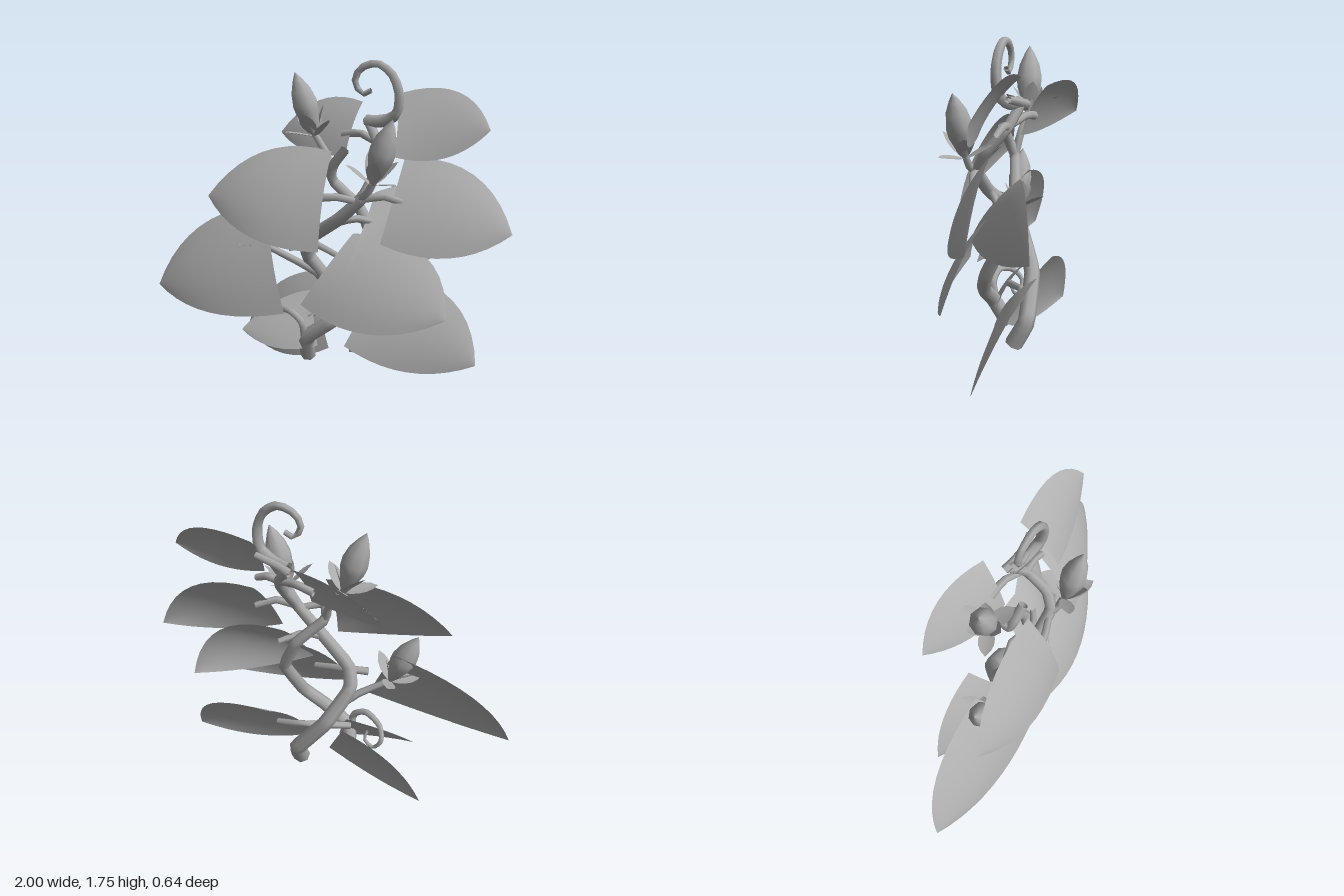
import * as THREE from 'three';

const V = (p) => new THREE.Vector3(...p);

// Edge curve passing through its middle point
function edge(a, m, b) {
  const c = V(m).multiplyScalar(2).addScaledVector(V(a), -0.5).addScaledVector(V(b), -0.5);
  return new THREE.QuadraticBezierCurve3(V(a), c, V(b));
}

// Leaf blade: straight base, two curved edges meeting at the tip, gently domed
function leafGeometry([baseTop, topMid, tip, lowMid, baseLow], nu = 10, nv = 8) {
  const top = edge(baseTop, topMid, tip), low = edge(baseLow, lowMid, tip);
  const dome = V(baseLow).sub(V(baseTop)).cross(V(tip).sub(V(baseTop))).normalize();
  if (dome.z < 0) dome.negate();
  const pos = [], index = [];
  for (let i = 0; i <= nu; i++) {
    const u = i / nu, a = top.getPoint(u), b = low.getPoint(u);
    for (let j = 0; j <= nv; j++) {
      const v = j / nv;
      const p = a.clone().lerp(b, v).addScaledVector(dome, 0.26 * v * (1 - v) * a.distanceTo(b));
      pos.push(p.x, p.y, p.z);
    }
  }
  for (let i = 0; i < nu; i++) for (let j = 0; j < nv; j++) {
    const k = i * (nv + 1) + j, n = k + nv + 1;
    index.push(k, k + 1, n, n, k + 1, n + 1);
  }
  const g = new THREE.BufferGeometry();
  g.setAttribute('position', new THREE.Float32BufferAttribute(pos, 3));
  g.setIndex(index);
  g.computeVertexNormals();
  return g;
}

// Tube whose radius runs from r0 to r1; low tension keeps the joints knotty
function taperedTube(points, r0, r1, tension = 0.15, sides = 7, steps = 4) {
  const curve = new THREE.CatmullRomCurve3(points.map(V), false, 'catmullrom', tension);
  const n = (points.length - 1) * steps;
  const g = new THREE.TubeGeometry(curve, n, 1, sides, false);
  const p = g.attributes.position, v = new THREE.Vector3();
  for (let i = 0; i <= n; i++) {
    const c = curve.getPointAt(i / n), r = r0 + (r1 - r0) * i / n;
    for (let j = 0; j <= sides; j++) {
      const k = i * (sides + 1) + j;
      v.fromBufferAttribute(p, k).sub(c).multiplyScalar(r).add(c);
      p.setXYZ(k, v.x, v.y, v.z);
    }
  }
  return g;
}

export function createModel() {
  const group = new THREE.Group();
  const leafMat = new THREE.MeshStandardMaterial({ color: 0xb0b0b0, side: THREE.DoubleSide });
  leafMat.name = 'leaf grey';
  const stemMat = new THREE.MeshStandardMaterial({ color: 0xaaaaaa, side: THREE.DoubleSide });
  stemMat.name = 'stem grey';
  const add = (name, geometry, material, parent = group) => {
    const m = new THREE.Mesh(geometry, material);
    m.name = name;
    parent.add(m);
    return m;
  };

  // Leaves: base top, upper edge, tip, lower edge, base bottom
  const leaves = {
    leafLowerRightLarge: [[-0.34, 0.93, 0.01], [-0.78, 0.75, 0.04], [-1, 0.4, 0.16], [-0.6, 0.33, 0.27], [-0.13, 0.4, 0.26]],
    leafMiddleRight: [[0.07, 1.28, 0.07], [-0.32, 1.25, 0.1], [-0.61, 1.0, 0.2], [-0.3, 0.84, 0.32], [0.08, 0.79, 0.28]],
    leafUpperRight: [[0.13, 1.5, -0.23], [-0.16, 1.48, -0.3], [-0.38, 1.29, -0.26], [-0.16, 1.22, -0.13], [0.09, 1.23, -0.08]],
    leafBottomRight: [[-0.13, 0.49, -0.2], [-0.42, 0.34, -0.2], [-0.59, 0.05, -0.15], [-0.27, 0.0, -0.02], [0.03, 0.11, 0.01]],
    leafSmallRight: [[-0.1, 0.43, -0.04], [-0.3, 0.35, 0.03], [-0.455, 0.2, 0.15], [-0.23, 0.14, 0.18], [0.0, 0.16, 0.1]],
    leafFrontLeft: [[0.18, 0.83, 0.03], [0.58, 0.76, 0.03], [0.73, 0.45, 0.12], [0.36, 0.37, 0.27], [-0.03, 0.47, 0.26]],
    leafMiddleLeft: [[0.42, 1.24, -0.09], [0.78, 1.18, -0.12], [1, 0.88, -0.12], [0.72, 0.78, 0.08], [0.38, 0.84, 0.17]],
    leafBackLeft: [[0.25, 1.03, -0.12], [0.55, 1.04, -0.25], [0.7, 0.75, -0.32], [0.46, 0.65, -0.04], [0.19, 0.66, 0.17]],
    leafUpperLeft: [[0.37, 1.57, -0.17], [0.67, 1.59, -0.17], [0.86, 1.42, -0.09], [0.66, 1.28, -0.01], [0.41, 1.27, 0.04]],
    leafBottomLeft: [[0.3, 0.53, -0.24], [0.69, 0.43, -0.2], [0.86, 0.12, -0.08], [0.5, 0.05, 0.01], [0.14, 0.16, 0.05]],
  };
  for (const [name, pts] of Object.entries(leaves)) add(name, leafGeometry(pts), leafMat);

  // Two entwined vines
  add('mainVine', taperedTube([[0.18, 0.07, -0.07], [0.17, 0.21, -0.14], [0, 0.44, -0.12], [-0.11, 0.65, -0.02], [-0.08, 0.77, 0.03],
    [0.12, 0.92, 0.09], [0.26, 1.06, 0.1], [0.3, 1.17, 0.04], [0.28, 1.3, -0.07], [0.2, 1.42, -0.12]], 0.052, 0.026), stemMat);
  add('secondVine', taperedTube([[-0.08, 0.07, 0.05], [-0.05, 0.22, 0.13], [0.1, 0.34, 0.13], [0.22, 0.48, 0.07], [0.27, 0.74, -0.06],
    [0.18, 0.94, -0.08], [0.03, 1.1, -0.03], [0.05, 1.19, 0], [0.12, 1.28, 0.01]], 0.046, 0.026), stemMat);

  // Curled tendrils
  add('topTendril', taperedTube([[0.2, 1.42, -0.11], [0.3, 1.43, -0.08], [0.38, 1.48, -0.06], [0.39, 1.59, -0.05], [0.35, 1.68, -0.05], [0.27, 1.73, -0.05],
    [0.18, 1.7, -0.05], [0.15, 1.63, -0.05], [0.19, 1.57, -0.05], [0.24, 1.59, -0.05]], 0.034, 0.014, 0.4, 6, 2), stemMat);
  add('baseTendril', taperedTube([[-0.07, 0.2, 0.12], [-0.08, 0.31, 0.14], [-0.16, 0.36, 0.13], [-0.26, 0.33, 0.08], [-0.29, 0.26, 0.03],
    [-0.24, 0.19, 0.03], [-0.18, 0.22, 0.05], [-0.19, 0.27, 0.07]], 0.024, 0.009, 0.4, 6, 3), stemMat);

  // Short bent leaf stalks and the bud stalks
  const stalks = [
    [[0, 1.04, 0.17], [0.12, 1.06, 0.15], [0.25, 1.03, 0.1]],
    [[0.25, 1.05, 0.1], [0.37, 1.07, 0.08], [0.48, 1.03, 0.04]],
    [[0.05, 1.33, -0.14], [0.15, 1.35, -0.13], [0.27, 1.31, -0.08]],
    [[0.28, 1.31, -0.07], [0.34, 1.32, -0.07], [0.41, 1.29, -0.06]],
    [[0.09, 0.89, 0.08], [0.19, 0.92, 0.04], [0.31, 0.88, -0.04]],
    [[-0.18, 0.72, 0.08], [-0.04, 0.74, 0.03], [0.13, 0.69, 0.06]],
    [[-0.09, 0.31, 0.04], [0.15, 0.38, -0.12], [0.31, 0.33, -0.1]],
    [[0.18, 1.41, -0.14], [0.25, 1.43, -0.12], [0.38, 1.46, -0.11]],
    [[-0.02, 0.5, -0.08], [-0.14, 0.6, 0.0], [-0.31, 0.7, 0.07]],
    [[0.24, 1.05, 0.1], [0.29, 1.09, 0.13], [0.33, 1.16, 0.14]],
    [[0.03, 1.11, -0.03], [0.0, 1.22, -0.05], [-0.09, 1.34, -0.07]],
  ];
  stalks.forEach((pts) => add('stalk', taperedTube(pts, 0.024, 0.018, 0.2, 6, 2), stemMat));

  // Flower buds with a ring of small sepals
  const budProfile = [[0.012, 0], [0.04, 0.06], [0.066, 0.14], [0.07, 0.19], [0.056, 0.26], [0.028, 0.32], [0.0, 0.365]]
    .map(([r, y]) => new THREE.Vector2(r, y));
  const budGeometry = new THREE.LatheGeometry(budProfile, 8);
  const sepalGeometry = leafGeometry([[-0.008, 0, 0], [-0.042, 0.1, 0], [0, 0.18, 0.01], [0.042, 0.1, 0], [0.008, 0, 0]], 5, 4);
  const buds = {
    upperBud: [[-0.08, 1.32, -0.07], [-0.19, 1.67, -0.04]],
    leftBud: [[0.32, 1.14, 0.14], [0.43, 1.49, 0.16]],
    lowerBud: [[-0.31, 0.7, 0.07], [-0.46, 1.05, 0.08]],
  };
  for (const [name, [base, tip]] of Object.entries(buds)) {
    const bud = new THREE.Group();
    bud.name = name;
    bud.position.set(...base);
    bud.quaternion.setFromUnitVectors(new THREE.Vector3(0, 1, 0), V(tip).sub(V(base)).normalize());
    add('budBody', budGeometry, stemMat, bud);
    for (let i = 0; i < 6; i++) {
      const sepal = add('sepal', sepalGeometry, stemMat, bud);
      sepal.rotation.set(i % 2 ? 1.05 : 0.5, i * Math.PI / 3, 0, 'YXZ');
    }
    group.add(bud);
  }
  return group;
}
